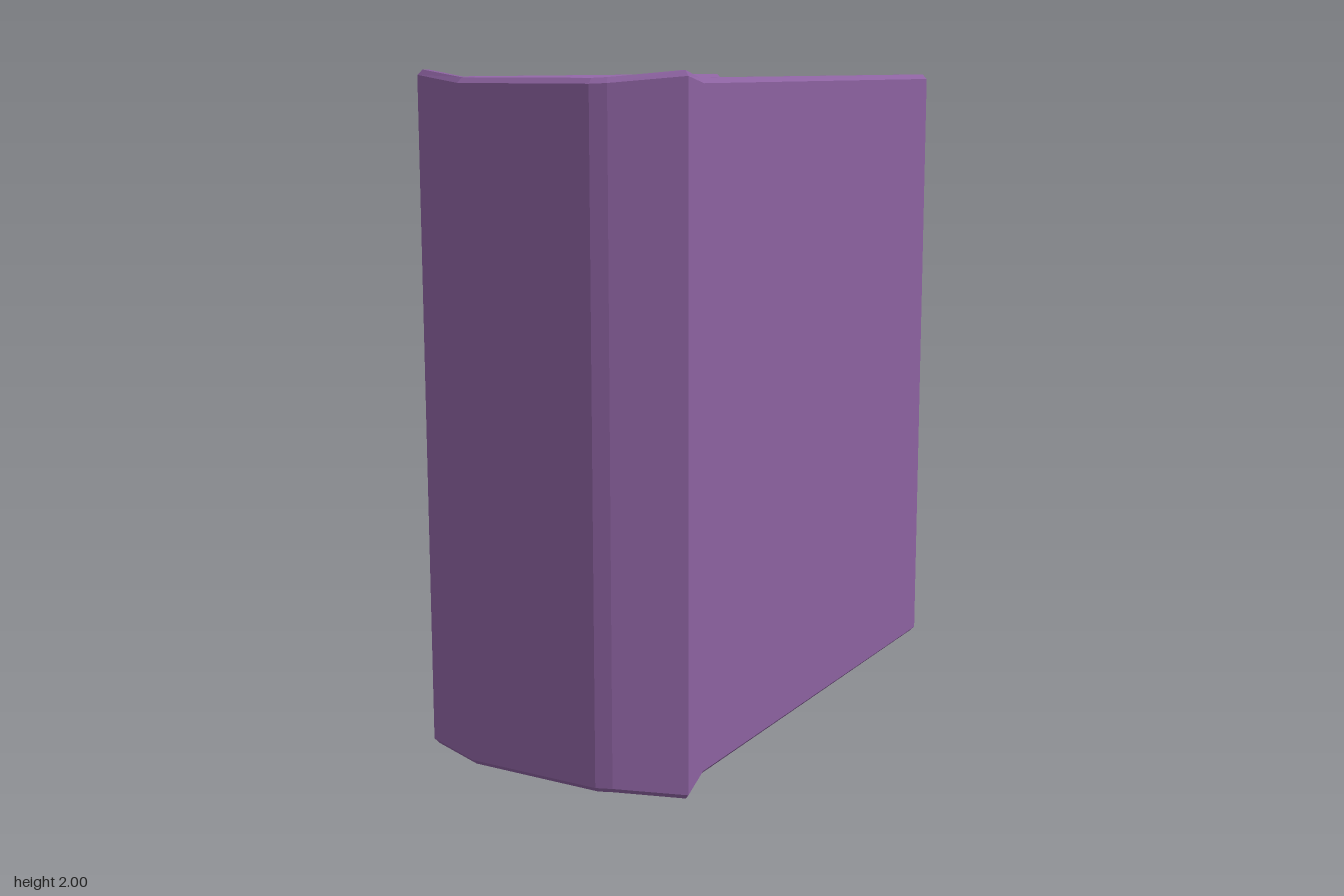
import * as THREE from 'three';

const coverMat = new THREE.MeshStandardMaterial({ color: 0x8c62a0, flatShading: true });
coverMat.name = 'purpleCover';
const pageMat = new THREE.MeshStandardMaterial({ color: 0xc9ca98 });
pageMat.name = 'creamPages';

// Stations along the wrap: [outerX, outerZ, innerX, innerZ, bottom, top]
const LOW = 0.025, HIGH = 1.98;
const stations = [
  [-0.41, -0.91, -0.38, -0.91, LOW + 0.01, HIGH - 0.01],
  [-0.42, -0.895, -0.372, -0.895, LOW, HIGH],
  [-0.42, 0.65, -0.376, 0.65, LOW, HIGH],
  [-0.44, 0.77, -0.4, 0.745, 0, 2],
  [-0.2, 0.905, -0.185, 0.862, LOW, HIGH],
  [0.22, 0.905, 0.22, 0.862, LOW, HIGH],
  [0.265, 0.887, 0.245, 0.85, LOW, HIGH + 0.002],
  [0.44, 0.77, 0.4, 0.745, 0, 2],
  [0.42, 0.65, 0.376, 0.65, LOW, HIGH],
  [0.42, -0.895, 0.372, -0.895, LOW, HIGH],
  [0.41, -0.91, 0.38, -0.91, LOW + 0.01, HIGH - 0.01],
];

// Chamfered board section at one station, going round from the outer face
function section([ox, oz, ix, iz, low, high]) {
  const c = 0.015;
  const at = (t, y) => [ox + (ix - ox) * t, y, oz + (iz - oz) * t];
  return [
    at(0, low + c), at(0, high - c), at(0.32, high), at(0.68, high),
    at(1, high - c), at(1, low + c), at(0.68, low), at(0.32, low),
  ];
}

// Loft the sections into one closed folded board
function coverGeometry() {
  const rings = stations.map(section);
  const pos = [];
  const tri = (a, b, c) => pos.push(...a, ...b, ...c);
  for (let i = 0; i < rings.length - 1; i++) {
    for (let j = 0; j < 8; j++) {
      const k = (j + 1) % 8;
      const p = rings[i], q = rings[i + 1];
      tri(p[j], q[j], q[k]);
      tri(p[j], q[k], p[k]);
    }
  }
  const first = rings[0], last = rings[rings.length - 1];
  for (let j = 1; j < 7; j++) {
    tri(first[0], first[j], first[j + 1]);
    tri(last[0], last[j + 1], last[j]);
  }
  const geo = new THREE.BufferGeometry();
  geo.setAttribute('position', new THREE.Float32BufferAttribute(pos, 3));
  geo.computeVertexNormals();
  return geo;
}

export function createModel() {
  const book = new THREE.Group();
  book.name = 'book';

  // Cover boards and spine
  const cover = new THREE.Mesh(coverGeometry(), coverMat);
  cover.name = 'cover';
  book.add(cover);

  // Block of pages
  const pages = new THREE.Mesh(new THREE.BoxGeometry(0.75, 1.85, 1.63), pageMat);
  pages.name = 'pages';
  pages.position.set(0, 1, -0.055);
  book.add(pages);

  return book;
}
